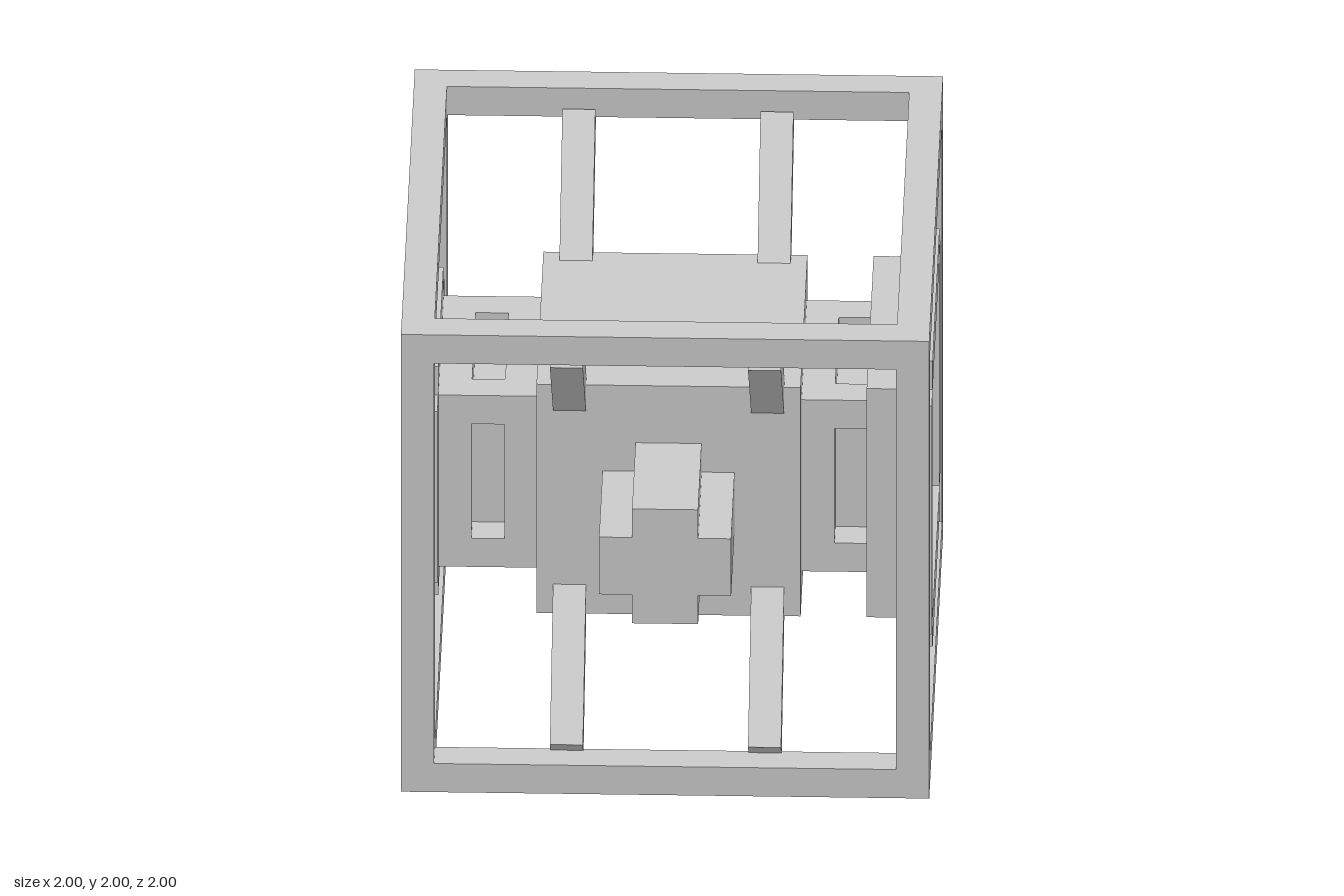
import * as THREE from 'three';

const material = new THREE.MeshStandardMaterial({ color: 0xcccccc, flatShading: true });

// Box given by its minimum and maximum on each axis
function box(parent, name, [x0, x1], [y0, y1], [z0, z1]) {
  const mesh = new THREE.Mesh(new THREE.BoxGeometry(x1 - x0, y1 - y0, z1 - z0), material);
  mesh.position.set((x0 + x1) / 2, (y0 + y1) / 2, (z0 + z1) / 2);
  mesh.name = name;
  parent.add(mesh);
  return mesh;
}

function group(parent, name) {
  const g = new THREE.Group();
  g.name = name;
  parent.add(g);
  return g;
}

// Range on the positive or negative side of an axis
const side = (s, a, b) => (s > 0 ? [a, b] : [-b, -a]);
const span = (h) => [-h, h];

// The parts below are laid out around a centre at the origin, lifted at the end
function outerFrame(parent) {
  const g = group(parent, 'outerFrame');
  for (const a of [-1, 1]) {
    for (const b of [-1, 1]) {
      box(g, 'frameBeamX', span(1), side(a, 0.875, 1), side(b, 0.875, 1));
      box(g, 'framePost', side(a, 0.875, 1), span(0.875), side(b, 0.875, 1));
      box(g, 'frameBeamZ', side(a, 0.875, 1), side(b, 0.875, 1), span(0.875));
    }
  }
}

// Diagonal struts from the core's long edges to the frame
function struts(parent) {
  const g = group(parent, 'struts');
  for (const x of [-0.375, 0.375]) {
    for (const sy of [-1, 1]) {
      for (const sz of [-1, 1]) {
        const offset = sy > 0 ? -0.025 : -0.038;
        const strut = new THREE.Mesh(new THREE.BoxGeometry(0.125, 0.125, 0.45 * Math.SQRT2), material);
        strut.name = 'strut';
        strut.position.set(x, sy * (0.675 + offset), sz * 0.675);
        strut.rotation.x = -sy * sz * Math.PI / 4;
        g.add(strut);
      }
    }
  }
}

// Square neck with a recessed slot on each of its four sides
function neck(parent, s) {
  const g = group(parent, s > 0 ? 'leftNeck' : 'rightNeck');
  box(g, 'neckInnerPlate', side(s, 0.5, 0.625), span(0.375), span(0.375));
  box(g, 'neckCore', side(s, 0.625, 0.75), span(0.25), span(0.25));
  for (const a of [-1, 1]) {
    for (const b of [-1, 1]) {
      box(g, 'neckCorner', side(s, 0.625, 0.75), side(a, 0.25, 0.375), side(b, 0.25, 0.375));
    }
  }
}

// End plate with four rim bars and a raised notched panel
function endPlate(parent, s, half, inner) {
  const g = group(parent, s > 0 ? 'leftEnd' : 'rightEnd');
  box(g, 'endPlate', side(s, 0.75, 0.875), span(half), span(half));
  for (const a of [-1, 1]) {
    box(g, 'rimBarHorizontal', side(s, 0.875, 1), side(a, half, half + 0.125), span(half));
    box(g, 'rimBarVertical', side(s, 0.875, 1), span(half), side(a, half, half + 0.125));
  }
  // Rim bars meet the plate along its edge; the raised panel is a cross outline
  const o = inner, n = inner - 0.125;
  const shape = new THREE.Shape([
    [o, -n], [o, n], [n, n], [n, o], [-n, o], [-n, n],
    [-o, n], [-o, -n], [-n, -n], [-n, -o], [n, -o], [n, -n],
  ].map(([x, y]) => new THREE.Vector2(x, y)));
  const panel = new THREE.Mesh(
    new THREE.ExtrudeGeometry(shape, { depth: 0.03, bevelEnabled: false }), material);
  panel.name = 'raisedPanel';
  panel.rotation.y = s * Math.PI / 2;
  panel.position.x = s * 0.875;
  g.add(panel);
}

export function createModel() {
  const model = new THREE.Group();
  model.name = 'framedMachine';
  const body = group(model, 'body');
  body.position.y = 1;

  outerFrame(body);
  box(body, 'core', span(0.5), span(0.5), span(0.5));
  struts(body);

  for (const s of [-1, 1]) neck(body, s);
  endPlate(body, 1, 0.5, 0.375);
  endPlate(body, -1, 0.375, 0.25);

  // Cross-shaped connector on the front
  const connector = group(body, 'frontConnector');
  box(connector, 'connectorWide', span(0.25), span(0.125), [0.5, 1]);
  box(connector, 'connectorTall', span(0.125), span(0.25), [0.5, 1]);

  return model;
}
